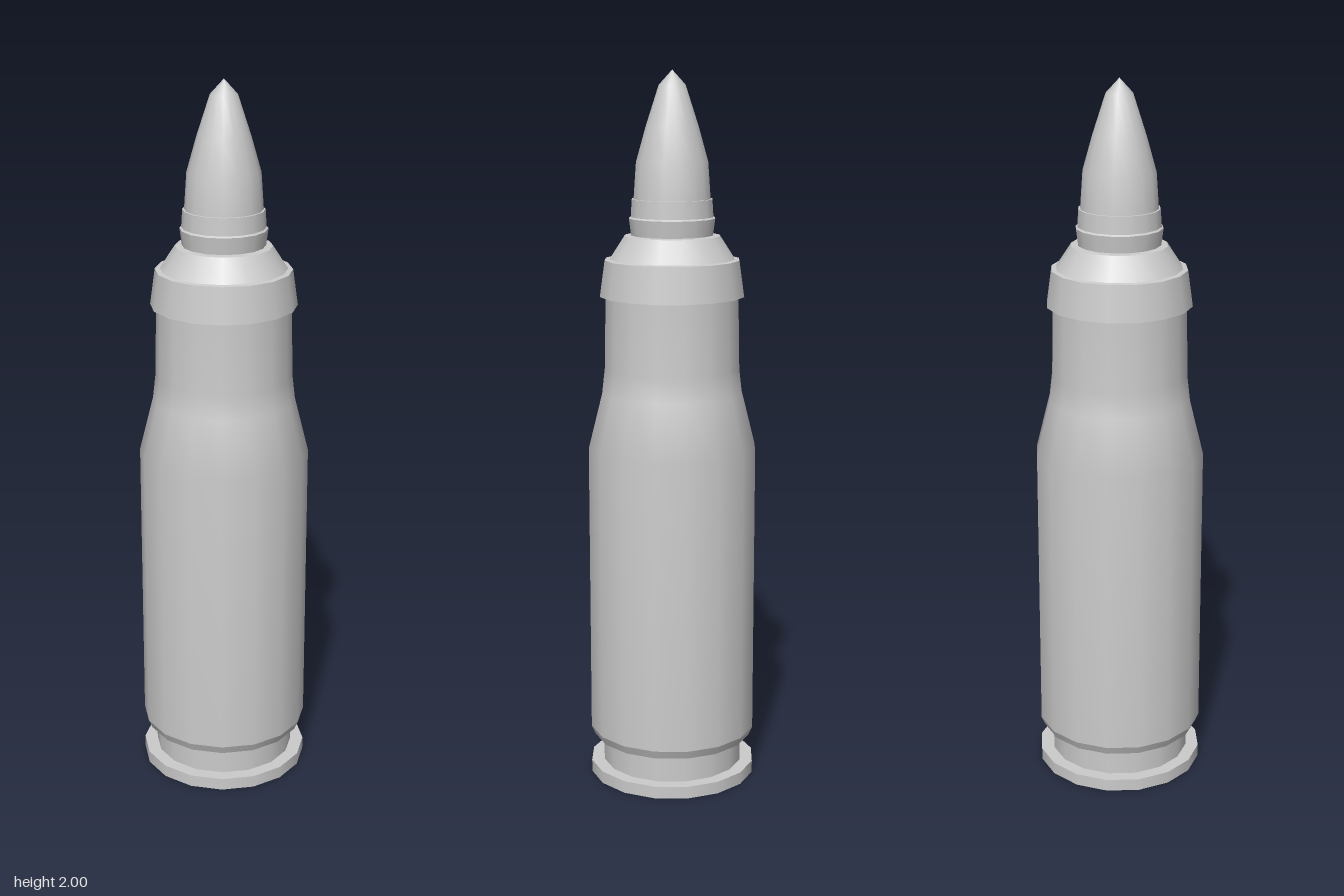
import * as THREE from 'three';

const SIDES = 16;

export function createModel() {
  const group = new THREE.Group();
  const material = new THREE.MeshStandardMaterial({ color: 0xcccccc });

  // Each part is a stack of bands of [radius, height], bottom to top:
  // smooth inside a band, with a sharp edge between bands.
  function turnedPart(name, bands) {
    const part = new THREE.Group();
    part.name = name;
    bands.forEach((band, i) => {
      const points = band.map(([r, y]) => new THREE.Vector2(r, y));
      const mesh = new THREE.Mesh(new THREE.LatheGeometry(points, SIDES), material);
      mesh.name = `${name}Band${i + 1}`;
      part.add(mesh);
    });
    group.add(part);
  }

  // Base flange with flat underside
  turnedPart('rim', [
    [[0, 0], [0.237, 0]],
    [[0.237, 0], [0.237, 0.035]],
    [[0.237, 0.035], [0.2, 0.035]],
  ]);

  // Recessed groove above the rim
  turnedPart('extractorGroove', [[[0.2, 0.035], [0.2, 0.115]]]);

  // Main case with tapered shoulder
  turnedPart('caseBody', [
    [[0.2, 0.115], [0.226, 0.115]],
    [[0.226, 0.115], [0.237, 0.14]],
    [[0.237, 0.14], [0.237, 0.965], [0.198, 1.12], [0.19, 1.19], [0.186, 1.39]],
  ]);

  // Collar that overhangs the case neck
  turnedPart('collar', [
    [[0.184, 1.39], [0.202, 1.39]],
    [[0.202, 1.39], [0.188, 1.49]],
    [[0.188, 1.49], [0.174, 1.492]],
  ]);

  // Sloped cone from collar to mouth
  turnedPart('neckCone', [
    [[0.174, 1.492], [0.133, 1.555]],
    [[0.133, 1.555], [0.113, 1.557]],
  ]);

  // Two stepped rings holding the projectile
  turnedPart('mouthRings', [
    [[0.114, 1.557], [0.12, 1.603]],
    [[0.12, 1.603], [0.113, 1.608]],
    [[0.115, 1.607], [0.112, 1.655]],
    [[0.112, 1.655], [0.1, 1.656]],
  ]);

  // Pointed projectile
  turnedPart('projectile', [
    [[0.107, 1.655], [0.1, 1.755], [0.073, 1.85], [0.037, 1.96], [0, 2]],
  ]);

  return group;
}
